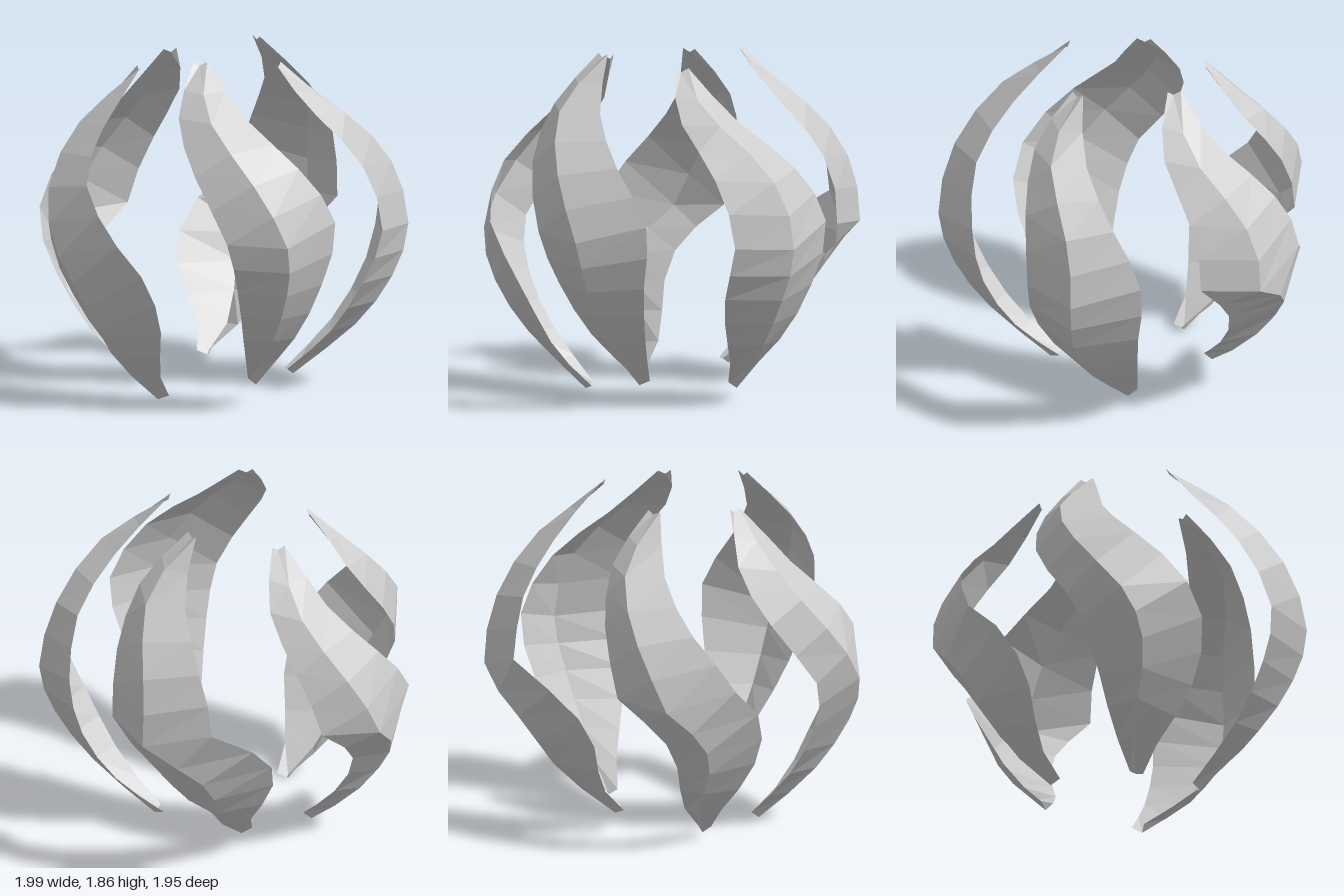
import * as THREE from 'three';

const V = (p) => new THREE.Vector3(...p);
const UP = new THREE.Vector3(0, 1, 0);
const ROWS = 12;

// Three long rails of one twisted blade, bottom to top: two edges and the ridge between
const RAILS = [
  [[0.06, 0.13, 0.35], [-0.06, 0.4, 0.62], [-0.155, 0.7, 0.8], [-0.24, 0.98, 0.87], [-0.37, 1.33, 0.72], [-0.38, 1.61, 0.48], [-0.225, 1.87, 0.28]],
  [[0.095, 0.1, 0.38], [0.08, 0.4, 0.71], [0.09, 0.68, 0.9], [0.065, 0.96, 0.985], [-0.1, 1.3, 0.9], [-0.25, 1.6, 0.64], [-0.195, 1.85, 0.29]],
  [[0.13, 0.12, 0.33], [0.25, 0.38, 0.57], [0.345, 0.7, 0.74], [0.4, 1.05, 0.8], [0.2, 1.35, 0.78], [-0.03, 1.6, 0.58], [-0.155, 1.87, 0.3]],
];

// Each blade: its two tips, the compass angle of its belly, a small shift of the
// belly, and the swing (degrees) of each rail's lower and upper half around the
// line between the tips
const BLADES = [
  { name: 'frontBlade', top: [-0.195, 1.855, 0.29], bottom: [0.095, 0.115, 0.355], belly: 10, shift: [0, 0, 0], lower: [0, 0, 0], upper: [0, 0, 0] },
  { name: 'leftBlade', top: [0.27, 1.82, 0.24], bottom: [0.43, 0.06, -0.05], belly: 76, shift: [0, 0, 0.01], lower: [-12, -6, 0], upper: [12, 12, 4] },
  { name: 'backLeftBlade', top: [0.33, 1.86, -0.28], bottom: [0.1, 0.11, -0.475], belly: 129, shift: [0.06, 0, 0.05], lower: [17, 28, 40], upper: [14, 12, 10] },
  { name: 'backRightBlade', top: [-0.1, 1.78, -0.45], bottom: [-0.33, 0.04, -0.31], belly: 207, shift: [0.02, 0, 0.03], lower: [24, 20, 28], upper: [4, -2, -5] },
  { name: 'rightBlade', top: [-0.4, 1.77, -0.12], bottom: [-0.36, 0.02, 0.15], belly: 288, shift: [0.04, 0, 0.01], lower: [5, 10, 22], upper: [-11, -11, -11] },
];

// Frame of a blade: y runs from tip to tip, z points out to the belly
function bladeFrame({ top, bottom, belly }) {
  const t = V(top), b = V(bottom);
  const up = t.clone().sub(b).normalize();
  const angle = THREE.MathUtils.degToRad(belly);
  const out = new THREE.Vector3(Math.sin(angle), 0, Math.cos(angle));
  out.addScaledVector(up, -out.dot(up)).normalize();
  const side = new THREE.Vector3().crossVectors(up, out);
  return new THREE.Matrix4().makeBasis(side, up, out).setPosition(t.add(b).multiplyScalar(0.5));
}

function bladeGeometry(grid, blade) {
  const frame = bladeFrame(blade);
  const shift = V(blade.shift);
  const point = (rail, row) => {
    const t = row / ROWS;
    const swing = (t < 0.5 ? blade.lower : blade.upper)[rail] * Math.abs(Math.sin(2 * Math.PI * t));
    return grid[rail][row].clone()
      .applyAxisAngle(UP, THREE.MathUtils.degToRad(swing))
      .applyMatrix4(frame)
      .addScaledVector(shift, Math.sin(Math.PI * t));
  };
  const pts = [];
  for (let row = 0; row < ROWS; row++) {
    for (let rail = 0; rail < 2; rail++) {
      const a = point(rail, row), b = point(rail + 1, row);
      const c = point(rail + 1, row + 1), d = point(rail, row + 1);
      pts.push(a, b, c, a, c, d);
    }
  }
  const geometry = new THREE.BufferGeometry().setFromPoints(pts);
  geometry.computeVertexNormals();
  return geometry;
}

export function createModel() {
  const group = new THREE.Group();
  group.name = 'bladeSphere';
  const grey = new THREE.MeshStandardMaterial({ color: 0xcccccc, side: THREE.DoubleSide, flatShading: true });
  grey.name = 'lightGrey';

  // Rails sampled in the local frame of the front blade
  const toLocal = bladeFrame(BLADES[0]).invert();
  const grid = RAILS.map((rail) => new THREE.CatmullRomCurve3(rail.map(V))
    .getPoints(ROWS).map((p) => p.applyMatrix4(toLocal)));

  for (const blade of BLADES) {
    const mesh = new THREE.Mesh(bladeGeometry(grid, blade), grey);
    mesh.name = blade.name;
    group.add(mesh);
  }
  return group;
}
